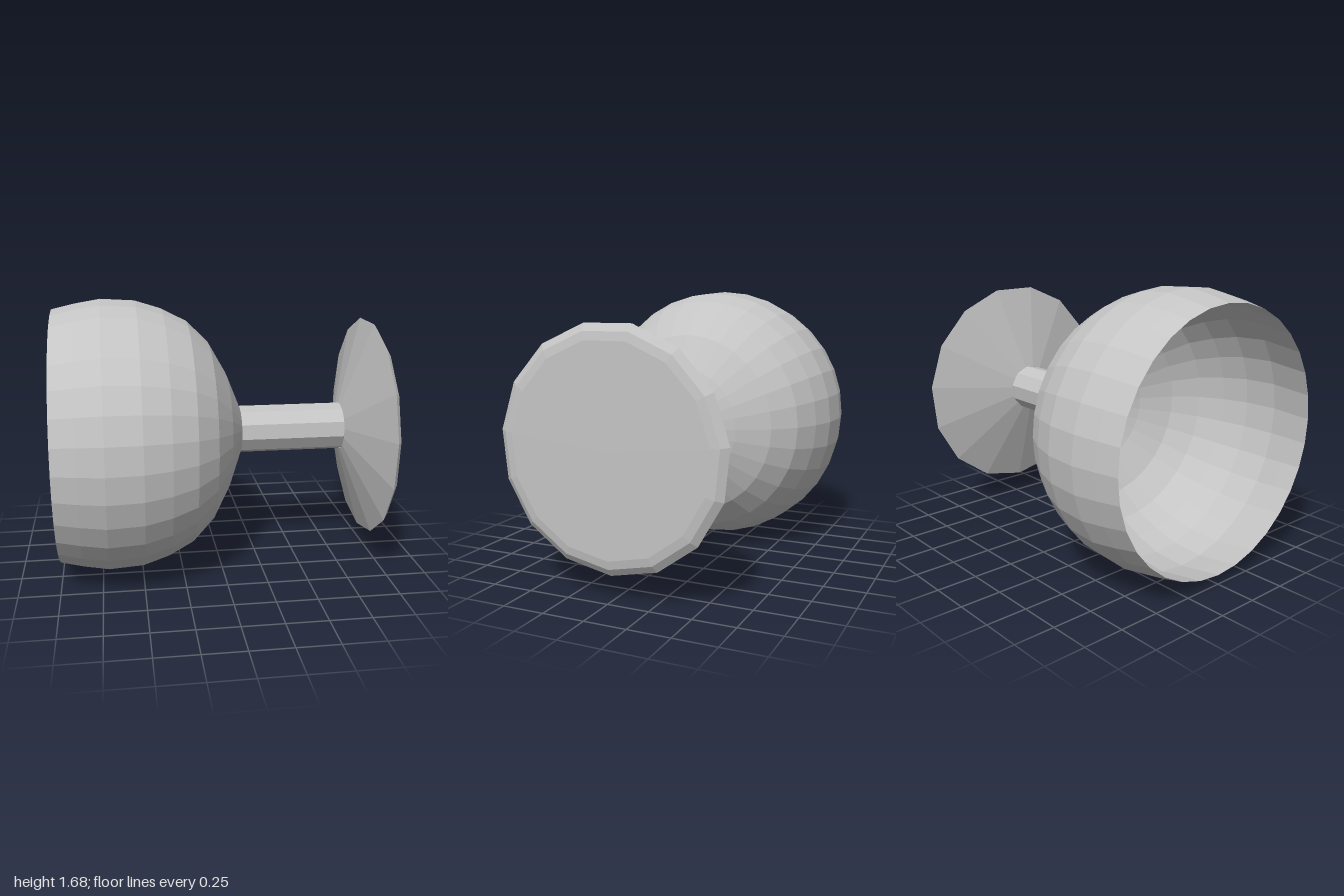
import * as THREE from 'three';

const AXIS_Y = 0.84;

export function createModel() {
  const model = new THREE.Group();
  model.name = 'goblet';
  const grey = new THREE.MeshStandardMaterial({ color: 0xc4c4c4 });
  grey.name = 'plain grey';
  grey.flatShading = true;
  grey.side = THREE.DoubleSide;

  // Turns a profile of [position along x, radius] about the horizontal axis
  function turned(name, profile, sides, start) {
    const points = profile.map(([x, r]) => new THREE.Vector2(r, x));
    const geometry = new THREE.LatheGeometry(points, sides, start);
    geometry.rotateZ(-Math.PI / 2);
    const mesh = new THREE.Mesh(geometry, grey);
    mesh.name = name;
    mesh.position.y = AXIS_Y;
    model.add(mesh);
  }

  // Bowl: thin wall, open towards -x
  const outer = [
    [-1, 0.783], [-0.86, 0.815], [-0.71, 0.84], [-0.5, 0.827], [-0.34, 0.777],
    [-0.19, 0.7], [-0.06, 0.57], [0.05, 0.375], [0.14, 0.15],
  ];
  turned('bowl', outer, 32, 0);

  // Lining: same curve set slightly inwards, closed over the stem
  const inner = outer.map(([x, r], i) => [i ? x - 0.008 * i / 8 : x, i ? r - 0.01 : r]).reverse();
  turned('bowlLining', [[0.132, 0], ...inner], 32, 0);

  // Stem: ten-sided rod
  turned('stem', [[0.14, 0.15], [0.8, 0.15]], 10, THREE.MathUtils.degToRad(12));

  // Foot: shallow cone with a bevelled edge and flat underside
  turned('foot', [[0.795, 0.15], [0.955, 0.693], [0.985, 0.65], [0.994, 0.6], [1, 0]], 15, Math.PI / 2);

  return model;
}
